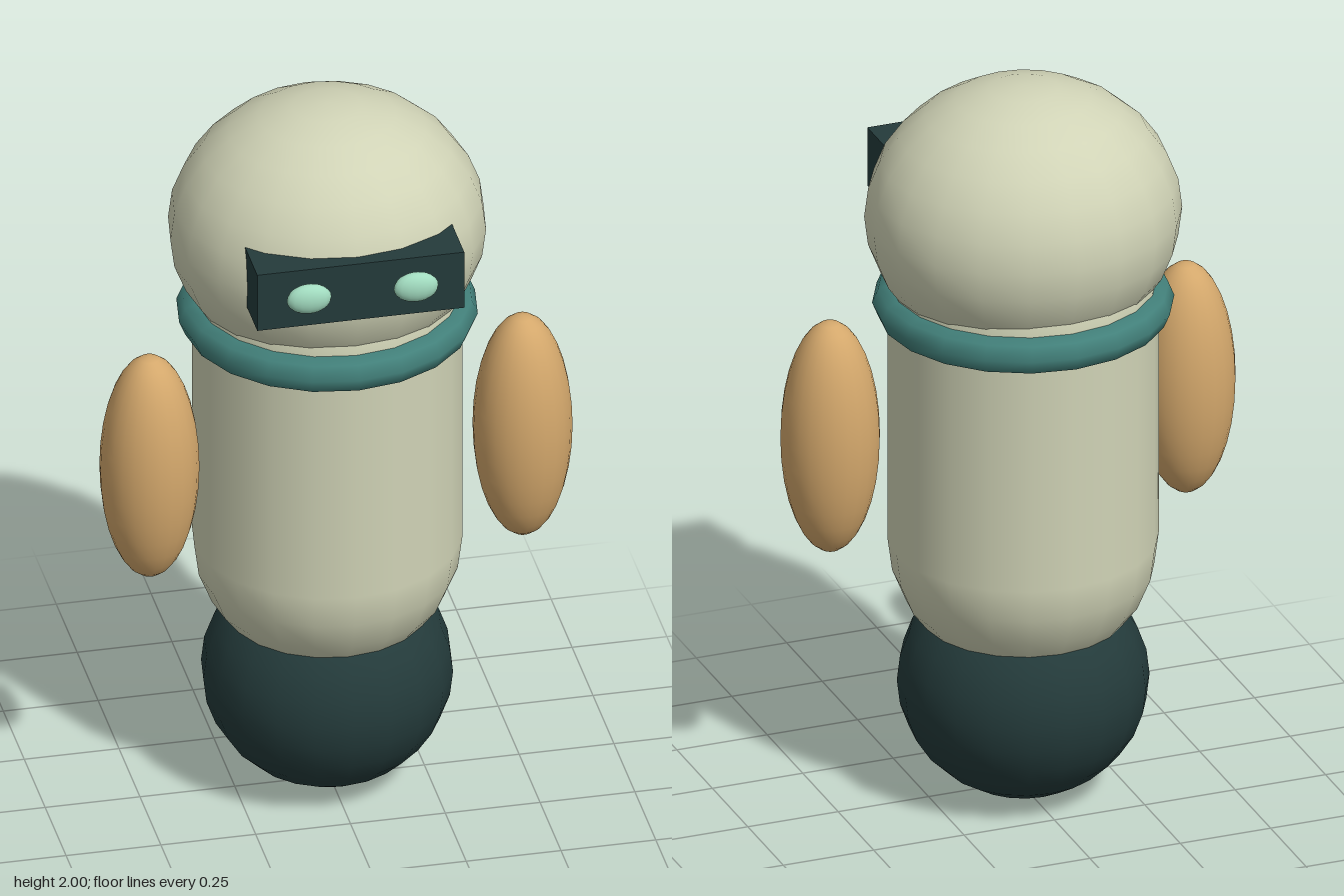
import * as THREE from 'three';

const mat = (name, color) => {
  const m = new THREE.MeshStandardMaterial({ color });
  m.name = name;
  return m;
};

export function createModel() {
  const cream = mat('cream', 0xd0d3b6);
  const dark = mat('darkGreen', 0x243b3b);
  const teal = mat('teal', 0x42807a);
  const tan = mat('tan', 0xd4a86c);
  const mint = mat('mint', 0xa2dcc0);

  const robot = new THREE.Group();
  robot.name = 'robot';
  const axisZ = -0.03;

  const add = (name, geometry, material, x, y, z) => {
    const mesh = new THREE.Mesh(geometry, material);
    mesh.name = name;
    mesh.position.set(x, y, z);
    robot.add(mesh);
    return mesh;
  };
  const ellipsoid = (name, material, pos, radii, w = 20, h = 14) => {
    const geometry = new THREE.SphereGeometry(1, w, h).scale(...radii);
    return add(name, geometry, material, ...pos);
  };

  // Rolling ball, rounded body and head share one vertical axis
  ellipsoid('baseBall', dark, [0, 0.317, axisZ], [0.326, 0.312, 0.326]);
  add('body', new THREE.CapsuleGeometry(0.35, 0.68, 6, 20), cream, 0, 1.06, axisZ);
  ellipsoid('head', cream, [0, 1.64, axisZ], [0.413, 0.36, 0.39]);

  // Collar ring at the neck
  const ring = new THREE.TorusGeometry(0.337, 0.053, 8, 20).rotateX(Math.PI / 2);
  add('collar', ring, teal, 0, 1.392, axisZ);

  // Visor sunk into the face
  add('visor', new THREE.BoxGeometry(0.546, 0.166, 0.2), dark, 0, 1.667, 0.273);

  // Mirrored eyes and arms
  for (const [side, s] of [['left', 1], ['right', -1]]) {
    ellipsoid(side + 'Eye', mint, [s * 0.141, 1.676, 0.395], [0.059, 0.042, 0.026], 16, 12);
    ellipsoid(side + 'Arm', tan, [s * 0.492, 1.04, 0.077], [0.129, 0.325, 0.129], 24, 16);
  }

  return robot;
}
